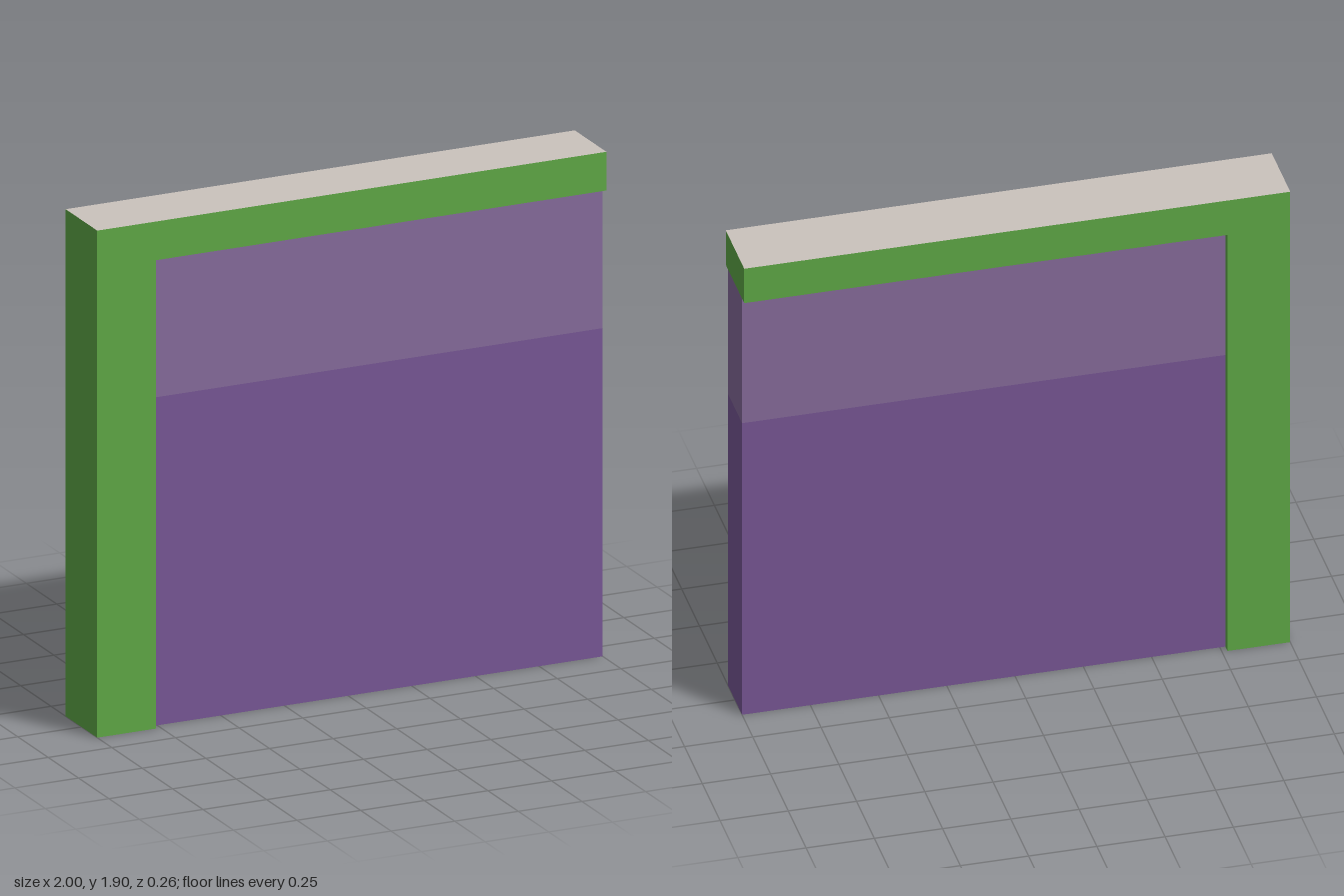
import * as THREE from 'three';

const H = 1.9, D = 0.13;            // overall height, frame half depth
const POST = -0.77, BEAM = 1.755;   // inner edges of the post and the beam
const PANEL = 0.1, SPLIT = 1.23;    // panel half depth, height of the colour change

export function createModel() {
  const group = new THREE.Group();
  const material = (name, color, side = THREE.FrontSide) => {
    const m = new THREE.MeshStandardMaterial({ color, side });
    m.name = name;
    return m;
  };
  const green = material('frame green', 0x5fa946, THREE.DoubleSide);
  const stone = material('top beige', 0xcbc3bd, THREE.DoubleSide);
  const darkPurple = material('lower purple', 0x785796);
  const lightPurple = material('upper purple', 0x876c9c);

  const add = (name, geometry, mat, x = 0, y = 0, z = 0) => {
    const mesh = new THREE.Mesh(geometry, mat);
    mesh.name = name;
    mesh.position.set(x, y, z);
    group.add(mesh);
    return mesh;
  };

  // Wall panel in two tones
  const wall = (name, y0, y1, mat) => add(name,
    new THREE.BoxGeometry(1 - POST, y1 - y0, PANEL * 2), mat, (1 + POST) / 2, (y0 + y1) / 2, 0);
  wall('lowerWall', 0, SPLIT, darkPurple);
  wall('upperWall', SPLIT, BEAM, lightPurple);

  // Front and back of the frame: one post and a beam
  const outline = new THREE.Shape([[-1, 0], [POST, 0], [POST, BEAM], [1, BEAM], [1, H], [-1, H]]
    .map(([x, y]) => new THREE.Vector2(x, y)));
  add('frameFront', new THREE.ShapeGeometry(outline), green, 0, 0, D);
  add('frameBack', new THREE.ShapeGeometry(outline).scale(-1, 1, 1).rotateY(Math.PI), green, 0, 0, -D);

  // Ends of the frame; the post is hollow and open below
  add('postSide', new THREE.PlaneGeometry(D * 2, H).rotateY(-Math.PI / 2), green, -1, H / 2, 0);
  add('beamEnd', new THREE.PlaneGeometry(D * 2, H - BEAM).rotateY(Math.PI / 2), green, 1, (H + BEAM) / 2, 0);

  // Narrow returns between frame and wall
  for (const s of [1, -1]) {
    const z = s * (D + PANEL) / 2, depth = D - PANEL;
    add('postReturn', new THREE.PlaneGeometry(depth, BEAM).rotateY(Math.PI / 2), green, POST, BEAM / 2, z);
    add('beamUnderside', new THREE.PlaneGeometry(1 - POST, depth).rotateX(Math.PI / 2), green, (1 + POST) / 2, BEAM, z);
  }

  // Top surface
  add('topCap', new THREE.PlaneGeometry(2, D * 2).rotateX(-Math.PI / 2), stone, 0, H, 0);

  return group;
}
